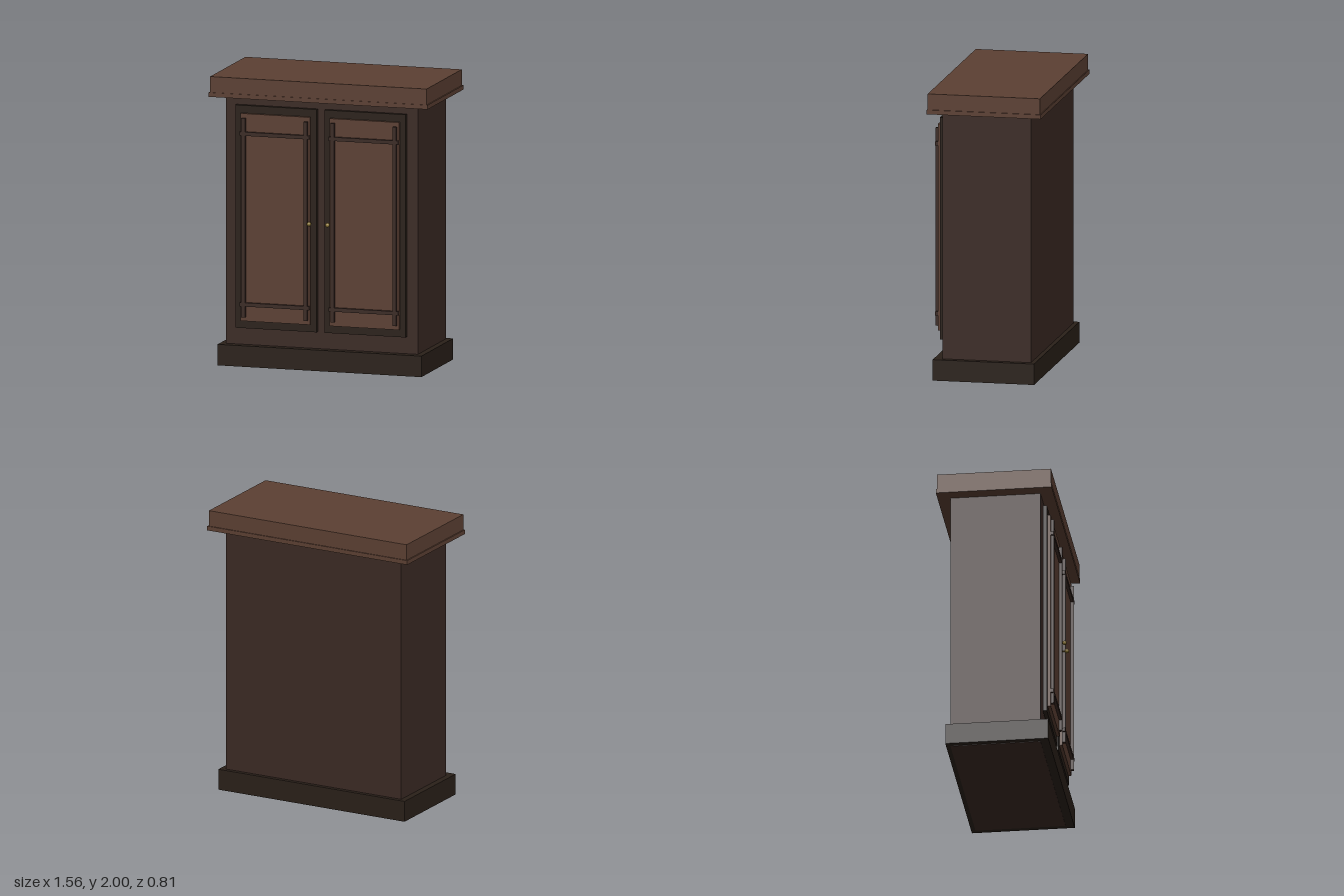
import * as THREE from 'three';

const paint = (color) => new THREE.MeshStandardMaterial({ color });

export function createModel() {
  const cabinet = new THREE.Group();
  cabinet.name = 'cabinet';
  const oak = paint(0x5c4033), walnut = paint(0x3b2a24), ebony = paint(0x2a2019), brass = paint(0x8b7536);

  // Box given by its lower and upper limits on each axis
  const box = (parent, name, material, [x0, x1], [y0, y1], [z0, z1]) => {
    const mesh = new THREE.Mesh(new THREE.BoxGeometry(x1 - x0, y1 - y0, z1 - z0), material);
    mesh.position.set((x0 + x1) / 2, (y0 + y1) / 2, (z0 + z1) / 2);
    mesh.name = name;
    parent.add(mesh);
  };

  // Carcass, plinth and overhanging top
  box(cabinet, 'body', walnut, [-0.685, 0.685], [0, 1.99], [-0.315, 0.302]);
  box(cabinet, 'plinth', ebony, [-0.728, 0.728], [0.002, 0.147], [-0.345, 0.36]);
  box(cabinet, 'topTrim', oak, [-0.782, 0.782], [1.86, 1.89], [-0.403, 0.39]);
  box(cabinet, 'top', oak, [-0.773, 0.773], [1.89, 2], [-0.396, 0.385]);

  // Doors mirrored about the centre line
  for (const side of [-1, 1]) {
    const door = new THREE.Group();
    door.name = side > 0 ? 'leftDoor' : 'rightDoor';
    door.position.x = side * 0.318;
    cabinet.add(door);

    box(door, 'doorFrame', ebony, [-0.29, 0.29], [0.265, 1.805], [0.308, 0.336]);
    box(door, 'doorPanel', oak, [-0.248, 0.248], [0.318, 1.752], [0.336, 0.357]);

    // Crossing strips
    for (const x of [-0.222, 0.222])
      box(door, 'verticalStrip', walnut, [x - 0.013, x + 0.013], [0.347, 1.722], [0.357, 0.378]);
    for (const y of [0.435, 1.615])
      box(door, 'horizontalStrip', walnut, [-0.248, 0.248], [y - 0.013, y + 0.013], [0.357, 0.377]);

    // Knob near the meeting edge
    const knob = new THREE.Mesh(new THREE.SphereGeometry(0.015, 20, 14), brass);
    knob.name = 'knob';
    knob.position.set(-side * 0.252, 1.02, 0.389);
    door.add(knob);
    const stem = new THREE.Mesh(new THREE.CylinderGeometry(0.006, 0.006, 0.034, 12), brass);
    stem.name = 'knobStem';
    stem.rotation.x = Math.PI / 2;
    stem.position.set(-side * 0.252, 1.02, 0.37);
    door.add(stem);
  }
  return cabinet;
}
